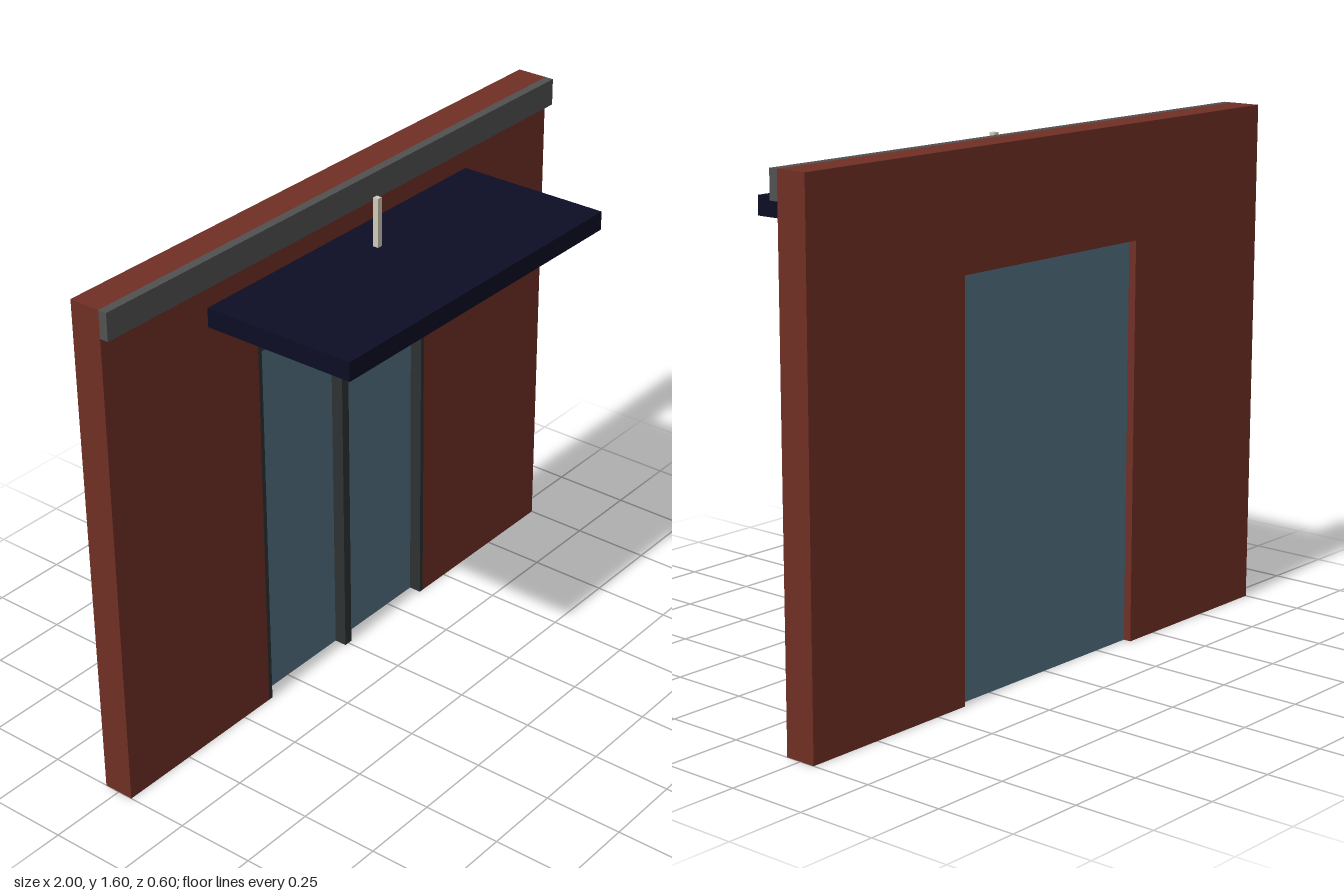
import * as THREE from 'three';

const mat = (name, color) => {
  const m = new THREE.MeshStandardMaterial({ color });
  m.name = name;
  return m;
};

export function createModel() {
  const group = new THREE.Group();
  const brick = mat('brick red', 0x702f25);
  const trim = mat('trim grey', 0x515151);
  const frame = mat('frame charcoal', 0x2d3131);
  const glass = mat('glass blue', 0x527080);
  const navy = mat('canopy navy', 0x0d0d24);
  const metal = mat('rod cream', 0xcfcab8);

  // Box given by its lower and upper limits on each axis
  const box = (name, material, [x0, x1], [y0, y1], [z0, z1]) => {
    const mesh = new THREE.Mesh(new THREE.BoxGeometry(x1 - x0, y1 - y0, z1 - z0), material);
    mesh.position.set((x0 + x1) / 2, (y0 + y1) / 2, (z0 + z1) / 2);
    mesh.name = name;
    group.add(mesh);
  };

  // Wall with the doorway cut up from the ground
  const w = 0.385, h = 1.25;
  const outline = new THREE.Shape(
    [[-1, 0], [-w, 0], [-w, h], [w, h], [w, 0], [1, 0], [1, 1.6], [-1, 1.6]]
      .map(([x, y]) => new THREE.Vector2(x, y)));
  const wall = new THREE.Mesh(
    new THREE.ExtrudeGeometry(outline, { depth: 0.1, bevelEnabled: false }), brick);
  wall.position.z = -0.3;
  wall.name = 'wall';
  group.add(wall);

  // Band along the top of the wall
  box('topBand', trim, [-1, 1], [1.515, 1.6], [-0.2, -0.172]);

  // Glass doors and their frame
  box('doorGlass', glass, [-w, w], [0, h], [-0.275, -0.24]);
  const frameZ = [-0.24, -0.2];
  box('leftJamb', frame, [w - 0.015, w], [0, h], frameZ);
  box('rightJamb', frame, [-w, 0.015 - w], [0, h], frameZ);
  box('doorHeader', frame, [0.015 - w, w - 0.015], [1.21, h], frameZ);
  box('centreMullion', frame, [-0.015, 0.015], [0, 1.21], frameZ);

  // Canopy over the entrance and its upright rod
  box('canopy', navy, [-0.587, 0.587], [1.378, 1.437], [-0.2, 0.3]);
  box('canopyRod', metal, [-0.009, 0.009], [1.437, 1.59], [-0.083, -0.065]);

  return group;
}
